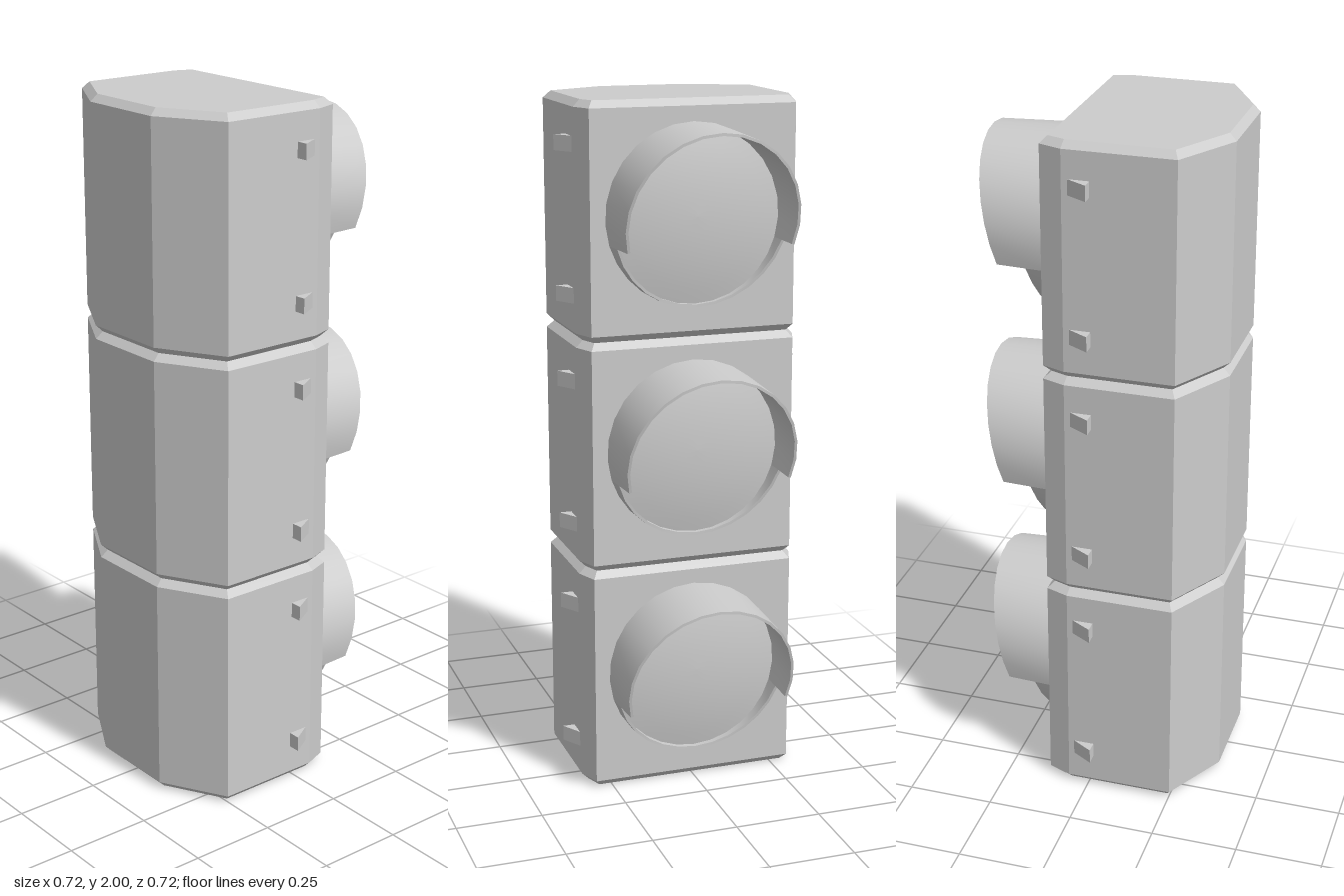
import * as THREE from 'three';
import { toCreasedNormals } from 'three/addons/utils/BufferGeometryUtils.js';

const material = new THREE.MeshStandardMaterial({ color: 0xcccccc, side: THREE.DoubleSide });
const PITCH = 2 / 3;
const BACK = -0.127; // plane of the lamp face

function add(parent, name, geometry, x = 0, y = 0, z = 0) {
  const mesh = new THREE.Mesh(geometry, material);
  mesh.name = name;
  mesh.position.set(x, y, z);
  parent.add(mesh);
  return mesh;
}

// Upright prism from an outline of [x, z] points, with an optional chamfer inside the outline
function prism(outline, height, bevel = 0) {
  const shape = new THREE.Shape(outline.map(([x, z]) => new THREE.Vector2(x, -z)));
  const geometry = new THREE.ExtrudeGeometry(shape, {
    depth: height - 2 * bevel, bevelEnabled: bevel > 0,
    bevelThickness: bevel, bevelSize: bevel, bevelOffset: -bevel, bevelSegments: 1,
  });
  return geometry.rotateX(-Math.PI / 2).translate(0, bevel, 0);
}

// Thin curved hood between two angles, cut off along a slanted front edge
function hood(start, end, segments, edge) {
  const geometry = new THREE.PlaneGeometry(1, 1, segments + 2, 3);
  const position = geometry.attributes.position;
  const columns = segments + 3;
  for (let i = 0; i < position.count; i++) {
    const column = i % columns, row = Math.floor(i / columns);
    const step = THREE.MathUtils.clamp(column - 1, 0, segments);
    const angle = THREE.MathUtils.degToRad(start + (end - start) * step / segments);
    const z = row === 1 || row === 2 ? edge(0.255 * Math.sin(angle)) : BACK;
    // end columns close the wall by dropping its thickness
    const closed = column === 0 || column === columns - 1;
    const thickness = row > 1 && !closed ? 0.008 : 0;
    const r = 0.257 + 0.04 * (z - BACK) - thickness;
    position.setXYZ(i, r * Math.cos(angle), r * Math.sin(angle), z);
  }
  return toCreasedNormals(geometry, 0.5);
}

export function createModel() {
  const model = new THREE.Group();
  model.name = 'signalHead';

  const half = [[0.30, BACK], [0.325, -0.06], [0.325, 0.252], [0.135, 0.357]];
  const outline = [...half, ...half.map(([x, z]) => [-x, z]).reverse()];
  const housing = prism(outline, PITCH, 0.02);

  const dome = [];
  for (let i = 0; i <= 6; i++) {
    const r = 0.25 * (1 - i / 6);
    dome.push(new THREE.Vector2(r, 0.03 * (1 - (r / 0.25) ** 2)));
  }
  const lens = new THREE.LatheGeometry(dome, 28).rotateX(-Math.PI / 2);

  const visor = hood(-17, 197, 16, y => -(0.275 + 0.257 * (y + 0.075)));
  const rim = hood(197, 343, 12, y => -(0.192 + 0.24 * (y + 0.075)));

  for (let i = 0; i < 3; i++) {
    const section = new THREE.Group();
    section.name = 'section' + (i + 1);
    section.position.y = i * PITCH;
    model.add(section);

    add(section, 'housing', housing);
    add(section, 'lens', lens, 0, 0.347, BACK - 0.005);
    add(section, 'visor', visor, 0, 0.347, 0);
    add(section, 'lowerRim', rim, 0, 0.347, 0);

    // Wedge shaped latches on both sides
    for (const side of [-1, 1]) {
      const wedge = [[0.32, 0.017], [0.36, 0.017], [0.325, -0.043], [0.32, -0.043]];
      for (const y of [0.124, 0.545]) {
        add(section, 'latch', prism(wedge.map(([x, z]) => [x * side, z]), 0.044), 0, y - 0.022, 0);
      }
    }
  }
  return model;
}
